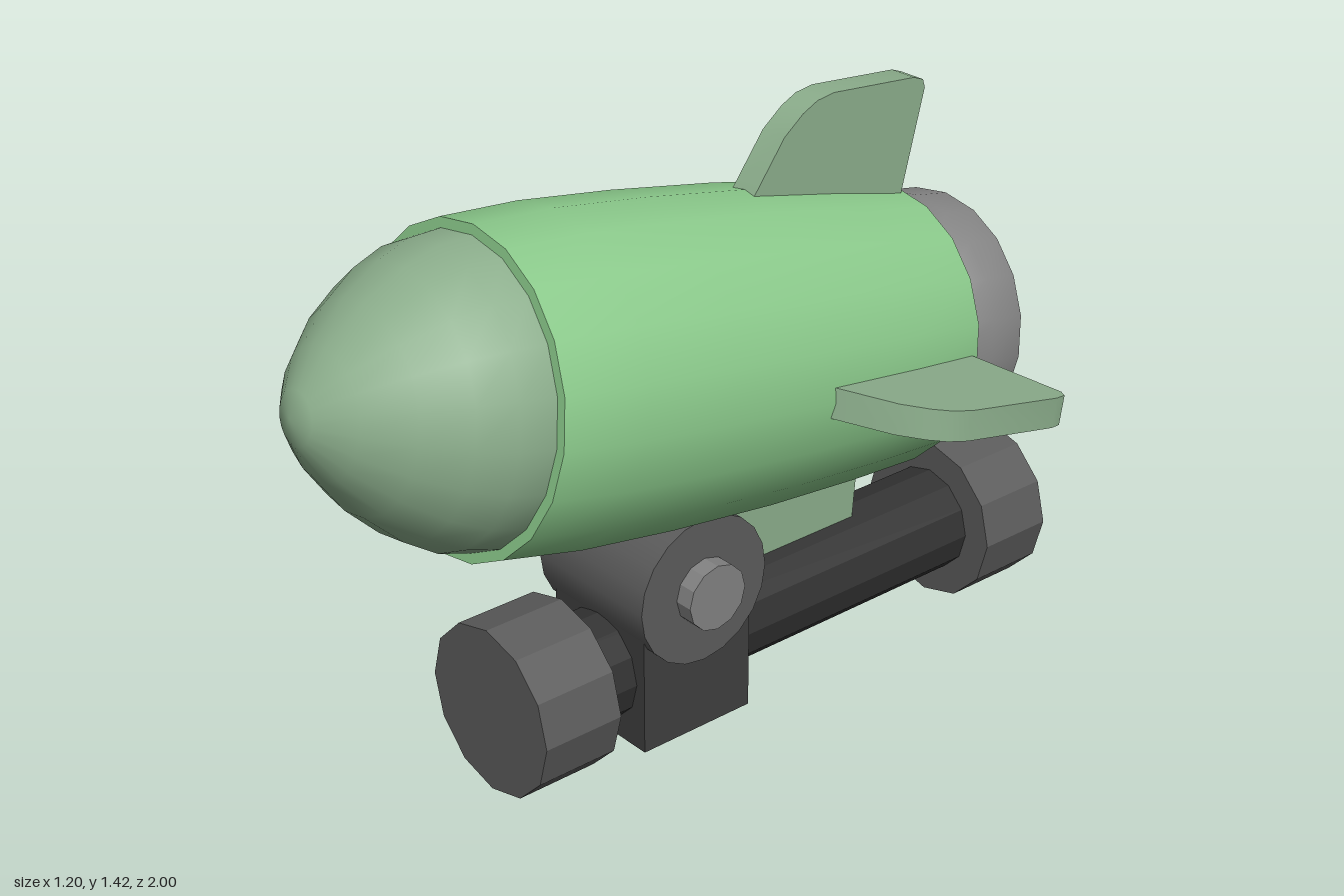
import * as THREE from 'three';
import { toCreasedNormals } from 'three/addons/utils/BufferGeometryUtils.js';

function material(name, color) {
  const m = new THREE.MeshStandardMaterial({ color });
  m.name = name;
  return m;
}

export function createModel() {
  const root = new THREE.Group();
  root.name = 'rocketOnStand';
  const bodyGreen = material('bright green', 0x8ccb8c);
  const paleGreen = material('grey green', 0x8cae8c);
  const steel = material('mid grey', 0x828282);
  const iron = material('dark grey', 0x5c5c5c);
  const charcoal = material('charcoal', 0x3f3f3f);
  const black = material('near black', 0x333333);

  const add = (parent, name, geometry, mat) => {
    const mesh = new THREE.Mesh(geometry, mat);
    mesh.name = name;
    parent.add(mesh);
    return mesh;
  };
  // Creased geometry: smooth around curves, sharp at rims
  const lathe = (points, sides = 20) => toCreasedNormals(
    new THREE.LatheGeometry(points.map(([r, y]) => new THREE.Vector2(r, y)), sides), 0.6);
  const flat = (geometry) => toCreasedNormals(geometry, 0.1);

  // Tilted rocket: local +y points to the nose, origin where nose meets body
  const rocket = new THREE.Group();
  rocket.name = 'rocket';
  rocket.position.set(0, 1, 0.607);
  rocket.rotation.x = THREE.MathUtils.degToRad(80.4);
  root.add(rocket);

  add(rocket, 'body', lathe([
    [0, -1.21], [0.332, -1.21], [0.35, -1.0], [0.366, -0.74],
    [0.374, -0.45], [0.373, -0.2], [0.358, 0], [0, 0],
  ]), bodyGreen);

  add(rocket, 'noseCone', lathe([
    [0.335, 0], [0.322, 0.08], [0.285, 0.16], [0.22, 0.25],
    [0.137, 0.33], [0.058, 0.385], [0, 0.4],
  ]), paleGreen);

  // Hollow exhaust nozzle
  add(rocket, 'nozzle', lathe([
    [0, -1.28], [0.155, -1.28], [0.225, -1.384], [0.303, -1.384],
    [0.305, -1.288], [0.265, -1.21], [0, -1.21],
  ]), steel);

  // Four fins around the tail
  const finShape = new THREE.Shape([
    [0.3, -1.19], [0.575, -1.214], [0.594, -1.204], [0.6, -1.173],
    [0.58, -0.927], [0.565, -0.88], [0.538, -0.842], [0.488, -0.796],
    [0.362, -0.731], [0.3, -0.7],
  ].map(([r, y]) => new THREE.Vector2(r, y)));
  const finGeometry = new THREE.ExtrudeGeometry(finShape, { depth: 0.07, bevelEnabled: false });
  finGeometry.translate(0, 0, -0.035);
  const fin = toCreasedNormals(finGeometry, 0.5);
  ['leftFin', 'topFin', 'rightFin', 'bottomFin'].forEach((name, i) => {
    add(rocket, name, fin, paleGreen).rotation.y = i * Math.PI / 2;
  });

  // Stand: horizontal bar with a heavy cap at each end
  const bar = (radius, z0, z1) => {
    const g = new THREE.CylinderGeometry(radius, radius, z1 - z0, 12);
    g.rotateX(Math.PI / 2);
    g.translate(0, 0.205, (z0 + z1) / 2);
    return flat(g);
  };
  add(root, 'baseBar', bar(0.131, -0.85, 0.4), black);
  add(root, 'frontCap', bar(0.205, 0.35, 0.555), iron);
  add(root, 'rearCap', bar(0.205, -1, -0.8), iron);

  // Clamp block, hinge barrel and pin
  add(root, 'clampBlock', new THREE.BoxGeometry(0.314, 0.36, 0.31), charcoal)
    .position.set(0, 0.22, 0.09);
  const crossPiece = (radius, length, sides) => {
    const g = new THREE.CylinderGeometry(radius, radius, length, sides);
    g.rotateZ(Math.PI / 2);
    return g;
  };
  add(root, 'hingeBarrel', crossPiece(0.18, 0.36, 20), iron).position.set(0, 0.415, 0.09);
  add(root, 'hingePin', flat(crossPiece(0.08, 0.45, 12)), steel).position.set(0, 0.415, 0.09);

  return root;
}
